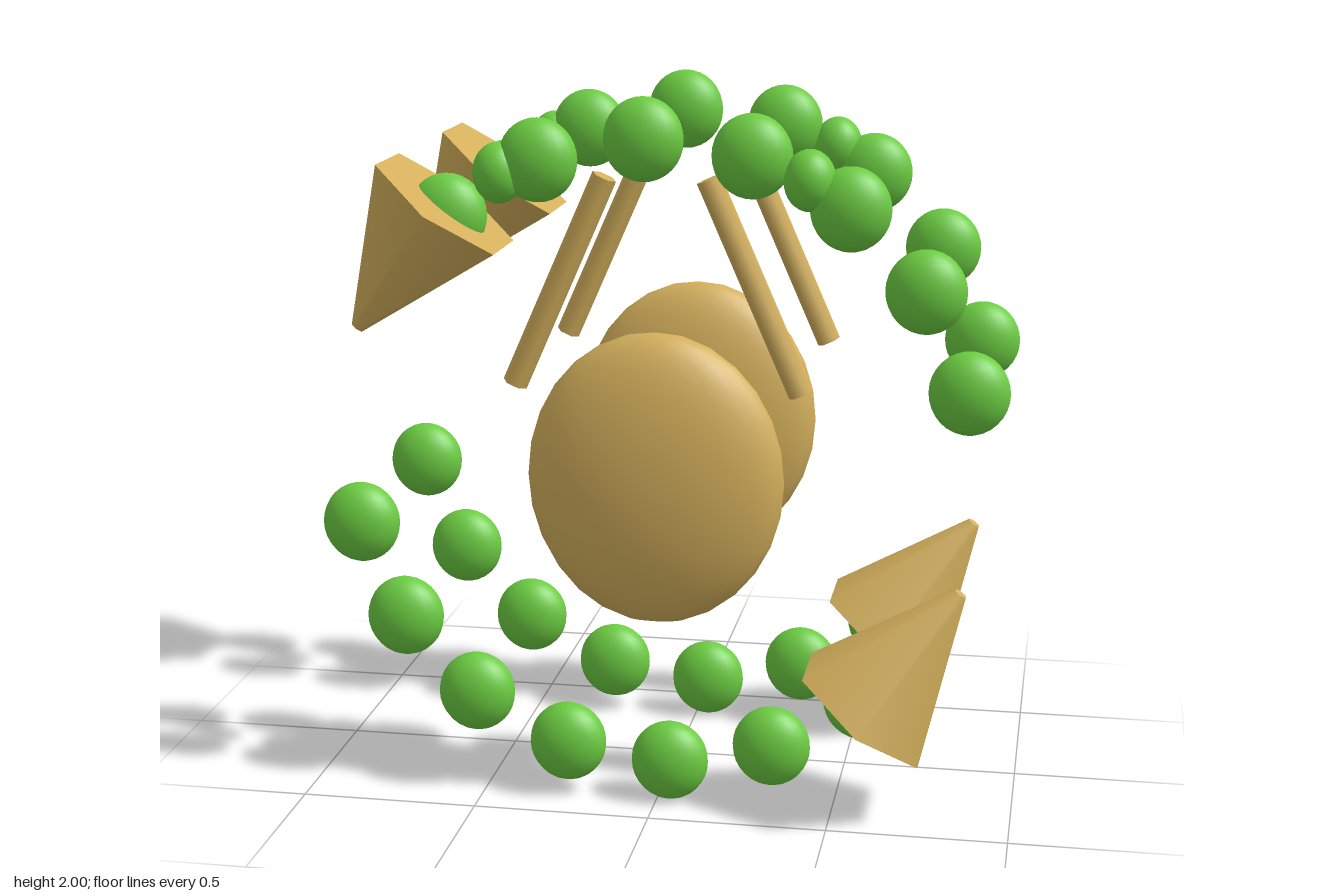
import * as THREE from 'three';

export function createModel() {
  const gold = new THREE.MeshStandardMaterial({ name: 'gold', color: 0xd4b05c });
  const green = new THREE.MeshStandardMaterial({ name: 'leafGreen', color: 0x6ccc42 });
  const beadGeometry = new THREE.SphereGeometry(1, 24, 16);
  const discGeometry = new THREE.SphereGeometry(1, 20, 14);
  const up = new THREE.Vector3(0, 1, 0);

  // Scaled sphere
  function ellipsoid(parent, name, geometry, material, position, radii) {
    const mesh = new THREE.Mesh(geometry, material);
    mesh.name = name;
    mesh.position.set(...position);
    mesh.scale.set(...radii);
    parent.add(mesh);
  }

  // Six-sided bar or cone between two points of the ring plane
  function hexBar(parent, name, from, to, rFrom, rTo, turn) {
    const a = new THREE.Vector3(...from, 0);
    const b = new THREE.Vector3(...to, 0);
    const geometry = new THREE.CylinderGeometry(rTo, rFrom, a.distanceTo(b), 6, 1, false, turn);
    const mesh = new THREE.Mesh(geometry, gold);
    mesh.name = name;
    mesh.position.copy(a).lerp(b, 0.5);
    mesh.quaternion.setFromUnitVectors(up, b.sub(a).normalize());
    parent.add(mesh);
  }

  // One ornament; side is the direction its disc bulges along z
  function ornament(name, side) {
    const group = new THREE.Group();
    group.name = name;
    group.position.set(0, 1, side * 0.344);

    // Two opposite arcs of beads, each led by an arrowhead
    for (const half of [0, 1]) {
      for (let i = 0; i < 7; i++) {
        const angle = THREE.MathUtils.degToRad(14.5 + i * 19.45 + half * 180);
        ellipsoid(group, 'bead', beadGeometry, green,
          [0.88 * Math.cos(angle), 0.885 * Math.sin(angle), 0], [0.11, 0.115, 0.075]);
      }
      const s = half ? -1 : 1;
      hexBar(group, 'arrowhead', [-0.585 * s, 0.697 * s], [-0.845 * s, 0.342 * s], 0.23, 0.02, 0);
    }

    // Mirrored slanted bars and small beads
    for (const s of [-1, 1]) {
      hexBar(group, 'bar', [0.398 * s, 0.2], [0.142 * s, 0.782], 0.035, 0.035, Math.PI / 2);
      ellipsoid(group, 'smallBead', beadGeometry, green,
        [s === 1 ? 0.415 : -0.433, 0.786, side * 0.008], [0.071, 0.084, 0.066]);
    }

    // Central oval disc
    ellipsoid(group, 'disc', discGeometry, gold, [0, -0.049, side * 0.026], [0.358, 0.413, 0.132]);
    return group;
  }

  const model = new THREE.Group();
  model.name = 'pairedOrnaments';
  model.add(ornament('frontOrnament', 1), ornament('backOrnament', -1));
  return model;
}
